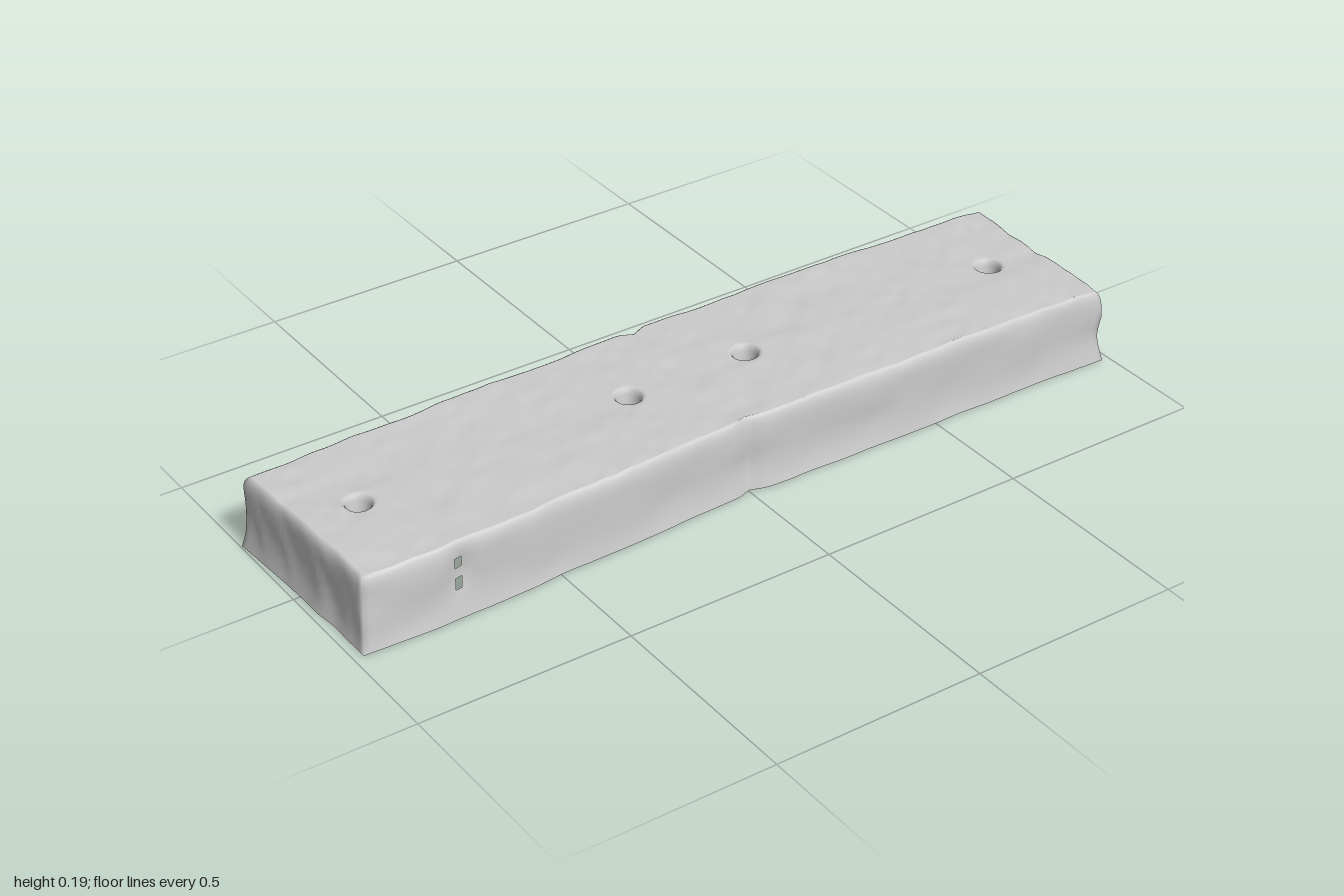
import * as THREE from 'three';
import { mergeVertices } from 'three/addons/utils/BufferGeometryUtils.js';

const NX = 128, NZ = 32, WIN = 8; // top grid cells, and cells across the window around a hole
const HOLES = [[-0.835, 0], [-0.155, -0.02], [0.155, -0.02], [0.835, -0.01]];
const RIM = 0.022; // how far the rounded edge reaches in over the top

// Smooth seeded value noise, -1 to 1
const hash = (i, j) => {
  const v = Math.sin(i * 127.1 + j * 311.7) * 43758.5453;
  return (v - Math.floor(v)) * 2 - 1;
};
function noise(x, y) {
  const i = Math.floor(x), j = Math.floor(y);
  const f = (x - i) ** 2 * (3 - 2 * (x - i)), g = (y - j) ** 2 * (3 - 2 * (y - j));
  const { lerp } = THREE.MathUtils;
  return lerp(lerp(hash(i, j), hash(i + 1, j), f), lerp(hash(i, j + 1), hash(i + 1, j + 1), f), g);
}

// Piecewise-linear lookup
function along(points, s) {
  let k = 0;
  while (k < points.length - 2 && s > points[k + 1][0]) k++;
  const [a, b] = [points[k], points[k + 1]];
  return a[1] + (b[1] - a[1]) * (s - a[0]) / (b[0] - a[0]);
}
const BACK = [[-1, -0.232], [0, -0.26], [1, -0.244]];
const FRONT = [[-1, 0.25], [-0.75, 0.254], [0, 0.222], [1, 0.236]];
const TOP = [[-1, 0.177], [-0.5, 0.179], [0, 0.181], [0.5, 0.186], [1, 0.181]];
const groove = x => Math.exp(-((x / 0.02) ** 2));

// Plan position for s, t in -1..1, pulled in from the edge by inset
function plan(s, t, inset) {
  const back = along(BACK, s) + 0.004 * noise(s * 12, 3);
  const front = along(FRONT, s) + 0.004 * noise(s * 12, 8);
  const left = -0.985 + 0.01 * t + 0.004 * noise(t * 4, 15);
  const right = 0.99 - 0.006 * t + 0.004 * noise(t * 4, 21);
  const u = (s * (1 - inset / 0.985) + 1) / 2;
  const v = (t * (1 - inset / 0.245) * (1 - 0.04 * groove(s)) + 1) / 2;
  return [left + (right - left) * u, back + (front - back) * v];
}

// Height of the worn top surface
const height = (x, z) => along(TOP, x) - 0.004 * groove(x) +
  0.002 * noise(x * 10, z * 14) + 0.0016 * noise(x * 32 + 5, z * 32);

const topPoint = (cx, cz) => plan(cx / NX * 2 - 1, cz / NZ * 2 - 1, RIM);

// Grid steps round a rectangle of w by d cells
function perimeter(k, w, d) {
  k %= 2 * (w + d);
  if (k < w) return [w - k, d];
  if (k < w + d) return [0, d - (k - w)];
  if (k < 2 * w + d) return [k - w - d, 0];
  return [w, k - 2 * w - d];
}

// Surface from rows of points, leaving out cells where skip is true
function surface(rows, cols, point, skip = () => false) {
  const pos = [], index = [];
  for (let i = 0; i <= rows; i++) for (let j = 0; j <= cols; j++) pos.push(...point(i, j));
  for (let i = 0; i < rows; i++) for (let j = 0; j < cols; j++) {
    if (skip(i, j)) continue;
    const a = i * (cols + 1) + j, d = a + cols + 1;
    index.push(a, d, a + 1, a + 1, d, d + 1);
  }
  let geo = new THREE.BufferGeometry();
  geo.setAttribute('position', new THREE.Float32BufferAttribute(pos, 3));
  geo.setIndex(index);
  geo = mergeVertices(geo, 1e-5);
  geo.computeVertexNormals();
  return geo;
}

export function createModel() {
  const group = new THREE.Group();
  const material = new THREE.MeshStandardMaterial({ color: 0xcccccc, side: THREE.DoubleSide });
  const add = (name, geo) => {
    const mesh = new THREE.Mesh(geo, material);
    mesh.name = name;
    group.add(mesh);
  };

  // Grid windows that make room for the holes
  const windows = HOLES.map(([x, z]) => [
    Math.round((x / 0.965 + 1) / 2 * NX) - WIN / 2,
    Math.round(((z + 0.005) / 0.222 + 1) / 2 * NZ) - WIN / 2,
  ]);

  // Top: lumpy sheet
  add('topFace', surface(NZ, NX, (i, j) => {
    const [x, z] = topPoint(j, i);
    return [x, height(x, z), z];
  }, (i, j) => windows.some(([a, b]) => j >= a && j < a + WIN && i >= b && i < b + WIN)));

  // Walls: slight flare at the foot, rounded over at the top; [inset, share of height]
  const WALL = [[0, 0], [0.003, 0.1], [0.005, 0.22], [0.006, 0.36], [0.006, 0.5], [0.006, 0.64],
    [0.007, 0.78], [0.009, 0.88], [0.013, 0.95], [0.018, 0.99], [RIM, 1]];
  const around = 2 * (NX + NZ);
  const gap = Math.round(NX * (1 - 0.765) / 2 + NX * 0.765); // column of the chip in the front wall
  add('sideWalls', surface(WALL.length - 1, around, (i, j) => {
    const [cx, cz] = perimeter(j, NX, NZ);
    const [inset, share] = WALL[i];
    const s = cx / NX * 2 - 1, t = cz / NZ * 2 - 1;
    const [ex, ez] = topPoint(cx, cz);
    const y = height(ex, ez) * share;
    const worn = Math.sin(Math.PI * share) * 0.004 * (1 + noise(s * 9 + t * 3, y * 16 + t * 7));
    const dent = cz === NZ ? 0.012 * Math.exp(-(((s + 0.765) / 0.025) ** 2) - ((y - 0.11) / 0.04) ** 2) : 0;
    const [x, z] = plan(s, t, inset + worn + dent);
    return [x, y, z];
  }, (i, j) => j === gap && (i === 3 || i === 5)));

  // Tapered blind holes, lofted from the square window to a round pit; [radius, depth]
  const PIT = [[0.04, 0], [0.034, 0.001], [0.03, 0.005], [0.026, 0.015], [0.023, 0.04],
    [0.019, 0.065], [0.014, 0.085], [0.008, 0.093], [0, 0.096]];
  HOLES.forEach(([hx, hz], n) => {
    const [a, b] = windows[n];
    add('pegHole' + (n + 1), surface(PIT.length, 4 * WIN, (i, j) => {
      const [cx, cz] = perimeter(j, WIN, WIN);
      let [x, z] = topPoint(a + cx, b + cz);
      if (i === 0) return [x, height(x, z), z];
      const [r, depth] = PIT[i - 1];
      const angle = Math.atan2(cz - WIN / 2, cx - WIN / 2);
      x = hx + r * Math.cos(angle);
      z = hz + r * Math.sin(angle);
      return [x, height(x, z) - depth, z];
    }));
  });
  return group;
}
